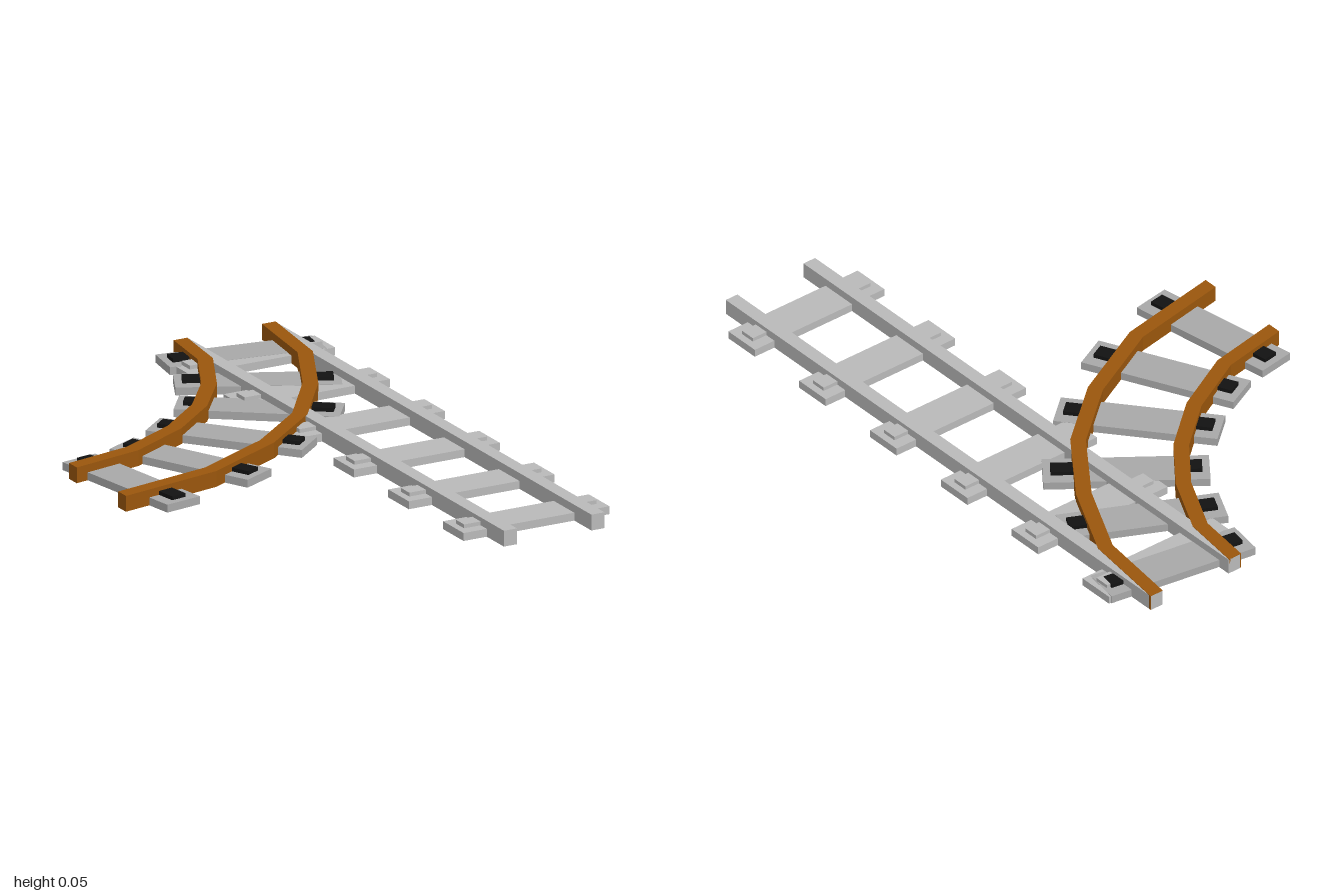
import * as THREE from 'three';

const mat = (name, color) => {
  const m = new THREE.MeshStandardMaterial({ color });
  m.name = name;
  return m;
};

export function createModel() {
  const steel = mat('light grey', 0xb9b9b9);
  const stone = mat('mid grey', 0xa8a8a8);
  const rust = mat('rusty brown', 0x9a560c);
  const black = mat('black', 0x121212);
  const root = new THREE.Group();
  root.name = 'railJunction';

  const box = (parent, name, material, size, pos) => {
    const mesh = new THREE.Mesh(new THREE.BoxGeometry(...size), material);
    mesh.position.set(...pos);
    mesh.name = name;
    parent.add(mesh);
  };

  // One sleeper with a clip outside each rail; angle turns its long axis from +x towards +z
  const sleeper = (name, x, z, angle, wood, clip, lift) => {
    const g = new THREE.Group();
    g.name = name;
    box(g, 'sleeperBeam', wood, [0.5, 0.025, 0.125], [0, 0.0125, 0]);
    for (const side of [-1, 1]) {
      box(g, 'railClip', clip, [0.07, 0.014, 0.05], [side * 0.192, 0.03, 0]);
    }
    g.position.set(x, lift, z);
    g.rotation.y = -THREE.MathUtils.degToRad(angle);
    root.add(g);
  };

  // Straight track
  for (const x of [0.225, 0.525]) box(root, 'straightRail', steel, [0.045, 0.05, 2], [x, 0.025, 0]);
  for (let i = 0; i < 6; i++) sleeper('straightSleeper', 0.373, -0.833 + i / 3, 0, steel, steel, 0);

  // Curved rail: a strip of constant width along a kinked centre line, extruded upwards
  const curvedRail = (points) => {
    const pts = points.map(([x, z]) => new THREE.Vector2(x, -z));
    const left = [], right = [];
    pts.forEach((p, i) => {
      const a = pts[Math.max(i - 1, 0)], b = pts[Math.min(i + 1, pts.length - 1)];
      const dir = b.clone().sub(a).normalize();
      // Ends are cut square to the track axes
      if (i === 0) dir.set(0, -1);
      if (i === pts.length - 1) dir.set(-1, 0);
      const n = new THREE.Vector2(-dir.y, dir.x).multiplyScalar(0.0235);
      left.push(p.clone().add(n));
      right.unshift(p.clone().sub(n));
    });
    const geo = new THREE.ExtrudeGeometry(new THREE.Shape([...left, ...right]), { depth: 0.05, bevelEnabled: false });
    geo.rotateX(-Math.PI / 2);
    const mesh = new THREE.Mesh(geo, rust);
    mesh.name = 'curvedRail';
    mesh.position.y = 0.001;
    root.add(mesh);
  };
  curvedRail([[0.525, -1], [0.489, -0.715], [0.363, -0.46], [0.198, -0.232], [-0.012, -0.058], [-0.285, 0.082], [-0.625, 0.147]]);
  curvedRail([[0.222, -1], [0.198, -0.807], [0.098, -0.606], [-0.024, -0.447], [-0.188, -0.308], [-0.394, -0.198], [-0.625, -0.152]]);

  // Curved track sleepers: x, z, angle in degrees
  [
    [0.36, -0.876, 8.8], [0.278, -0.63, 26], [0.161, -0.413, 37],
    [-0.037, -0.233, 50.3], [-0.254, -0.095, 64], [-0.5, -0.019, 80.7],
  ].forEach(([x, z, a]) => sleeper('curvedSleeper', x, z, a, stone, black, 0.0008));

  return root;
}
